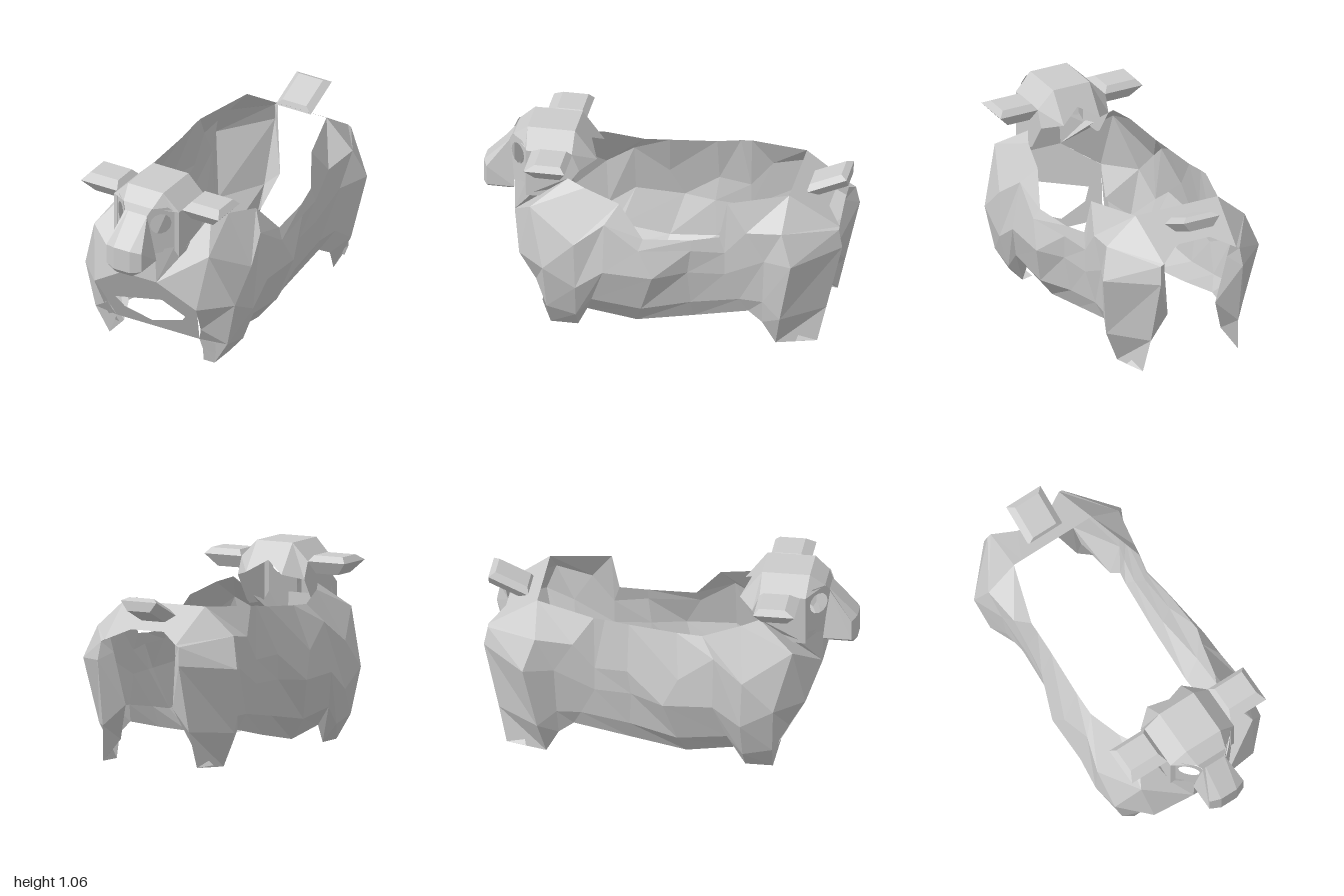
import * as THREE from 'three';

const mat = new THREE.MeshStandardMaterial({ color: 0xcccccc, flatShading: true, side: THREE.DoubleSide });

function add(parent, name, geometry) {
  const mesh = new THREE.Mesh(geometry, mat);
  mesh.name = name;
  parent.add(mesh);
  return mesh;
}

// Skin a row of cross-sections (equal point counts) into faceted quads
function loft(sections, { closed = false, caps = [] } = {}) {
  const n = sections[0].length, index = [];
  for (let i = 0; i < sections.length - 1; i++) {
    for (let j = 0; j < (closed ? n : n - 1); j++) {
      const a = i * n + j, b = i * n + (j + 1) % n;
      index.push(a, b, a + n, b, b + n, a + n);
    }
  }
  for (const c of caps) {
    for (let j = 1; j < n - 1; j++) index.push(c * n, c * n + (c ? j : j + 1), c * n + (c ? j + 1 : j));
  }
  const g = new THREE.BufferGeometry();
  g.setAttribute('position', new THREE.Float32BufferAttribute(sections.flat(2), 3));
  g.setIndex(index);
  const out = g.toNonIndexed();
  out.computeVertexNormals();
  return out;
}

const mirror = (pts) => pts.map(([x, y, z]) => [-x, y, z]);
// Half ring (top to bottom at +x) completed across the middle
const ring = (half) => [...half, ...mirror(half).reverse()];
const flat = (pts) => pts.map(([x, y]) => new THREE.Vector2(x, y));

// Front half of a side wall: columns of rim, shoulder, flank and hem
const flank = [
  [[.2, .7, .72], [.11, .545, .82], [.32, .4, .755], [.26, .145, .62]],
  [[.26, .85, .5], [.36, .71, .69], [.47, .4, .6], [.33, 0, .58]],
  [[.31, .83, .4], [.47, .56, .43], [.475, .3, .42], [.33, 0, .43]],
  [[.36, .78, .2], [.43, .68, .27], [.475, .41, .27], [.33, .1, .38]],
  [[.42, .61, .06], [.45, .55, .08], [.475, .4, 0], [.32, .055, .11]],
  [[.4, .62, -.2], [.41, .56, -.2], [.4, .42, -.18], [.32, .115, -.2]],
  [[.37, .64, -.35], [.38, .55, -.38], [.38, .42, -.38], [.33, .18, -.5]],
];
// Rear half, wrapping round the back of the hind leg
const haunch = [
  [[.35, .84, -.39], [.39, .69, -.5], [.4, .53, -.6], [.35, .13, -.58]],
  [[.25, .87, -.71], [.42, .72, -.7], [.475, .55, -.76], [.33, 0, -.65]],
  [[.22, .69, -.98], [.24, .68, -.98], [.25, .58, -1], [.29, .015, -.87]],
  [[.2, .7, -.95], [.19, .62, -.93], [.145, .33, -.88], [.33, .02, -.76]],
];

// Below the flank each column bulges before it tucks in to the hem
function bulge([rim, upper, mid, hem]) {
  const t = [.4, .65, .65];
  return [rim, upper, mid, mid.map((v, k) => v + (hem[k] - v) * t[k]), hem];
}

const leftSide = [...flank, ...haunch];
// The other wall keeps a high rim over the gap
const highRim = { 4: [.36, .79, .06], 5: [.35, .815, -.2], 6: [.35, .835, -.33] };
const rightSide = leftSide.map(([rim, ...rest], i) => mirror([highRim[i] ?? rim, ...rest]));

// Chest panel with a torn hole, leaning forward towards its top
function chest() {
  const s = new THREE.Shape(flat([[-.11, .545], [-.32, .4], [-.26, .145], [.26, .145], [.32, .4], [.11, .545]]));
  s.holes.push(new THREE.Path(flat([[-.22, .31], [.1, .4], [.22, .31], [.19, .27], [-.02, .19], [-.18, .245]])));
  const g = new THREE.ShapeGeometry(s), p = g.attributes.position;
  for (let i = 0; i < p.count; i++) p.setZ(i, .62 + (p.getY(i) - .145) * .5);
  g.computeVertexNormals();
  return g;
}

// Bevelled slab made of stacked rectangles [x0, x1, z0, z1, y]
function slab(levels) {
  return loft(levels.map(([x0, x1, z0, z1, y]) =>
    [[x0, y, z0], [x1, y, z0], [x1, y, z1], [x0, y, z1]]), { closed: true, caps: [0, levels.length - 1] });
}

function eyePanel() {
  const s = new THREE.Shape(flat([[-.078, -.17], [.078, -.15], [.078, .08], [.04, .11], [-.05, .11], [-.078, .07]]));
  s.holes.push(new THREE.Path().absarc(0, .015, .06, 0, Math.PI * 2, true));
  return new THREE.ShapeGeometry(s, 6);
}

export function createModel() {
  const model = new THREE.Group();
  model.name = 'lowPolySheep';

  // Open shell body
  const body = new THREE.Group();
  body.name = 'body';
  model.add(body);
  add(body, 'leftSide', loft(leftSide.map(bulge)));
  add(body, 'rightSide', loft(rightSide.map(bulge)));
  add(body, 'chest', chest());
  add(body, 'rump', loft([
    [[-.25, .87, -.71], [-.22, .69, -.98]], [[-.2, .87, -.71], [-.1, .745, -.9]],
    [[.2, .87, -.71], [.1, .745, -.9]], [[.25, .87, -.71], [.22, .69, -.98]],
  ]));
  // Whole front foot on one side, a torn strip on the other
  add(body, 'leftFrontFoot', loft([
    [[.26, .145, .62], [.27, .075, .6], [.26, 0, .58], [.26, 0, .45]],
    [[.36, .145, .62], [.35, .075, .6], [.33, 0, .58], [.33, 0, .43]],
  ]));
  add(body, 'footStrip', loft([[[-.32, .4, .755], [-.32, .1, .59]], [[-.29, .25, .67], [-.27, .08, .58]]]));

  // Head, open at the back, with the forehead running down to the muzzle
  const head = new THREE.Group();
  head.name = 'head';
  model.add(head);
  add(head, 'skull', loft([
    [[0, .967, .42], [.11, .9, .37], [.205, .87, .45], [.205, .72, .55]],
    [[0, 1.06, .49], [.11, 1.06, .49], [.205, .965, .49], [.205, .7, .58]],
    [[0, 1.06, .75], [.11, 1.06, .75], [.205, .965, .74], [.205, .69, .74]],
    [[0, .995, .83], [.09, .995, .83], [.18, .965, .75], [.18, .73, .75]],
  ].map((half) => [...half].reverse().concat(mirror(half)))));
  add(head, 'muzzle', loft([
    [[.05, .965, .84], [.07, .955, .85], [.11, .68, .82], [.05, .64, .85]],
    [[.05, .8, 1], [.11, .79, .975], [.11, .68, .975], [.05, .64, .975]],
    [[.05, .8, 1], [.05, .8, 1], [.05, .67, 1], [.05, .67, 1]],
  ].map(ring), { closed: true, caps: [2] }));
  add(head, 'brow', loft([1, -1].map((s) => [[s * .09, .995, .83], [s * .07, .955, .85]])));
  add(head, 'throat', loft([
    [[-.18, .75, .75], [-.205, .69, .72]], [[-.1, .74, .82], [-.11, .545, .82]],
    [[.1, .74, .82], [.11, .545, .82]], [[.18, .75, .75], [.205, .69, .72]],
  ]));

  for (const side of [1, -1]) {
    const label = side > 0 ? 'left' : 'right';
    // Angled eye sockets
    const eye = add(head, label + 'EyeSocket', eyePanel());
    eye.position.set(side * .125, .885, .8);
    eye.rotation.y = side * Math.PI / 4;
    eye.scale.x = side;
    // Ears
    const ear = add(head, label + 'Ear', slab([
      [.235, .37, .525, .66, .897], [.205, .432, .487, .71, .965], [.23, .405, .515, .655, .997],
    ]));
    ear.scale.x = side;
  }

  // Tail, tilted up and back
  const tail = add(model, 'tail', slab([
    [-.07, .07, -.1, .08, -.045], [-.11, .11, -.12, .12, .005], [-.075, .075, -.095, .095, .033],
  ]));
  tail.position.set(0, .86, -.888);
  tail.rotation.x = .42;

  return model;
}
